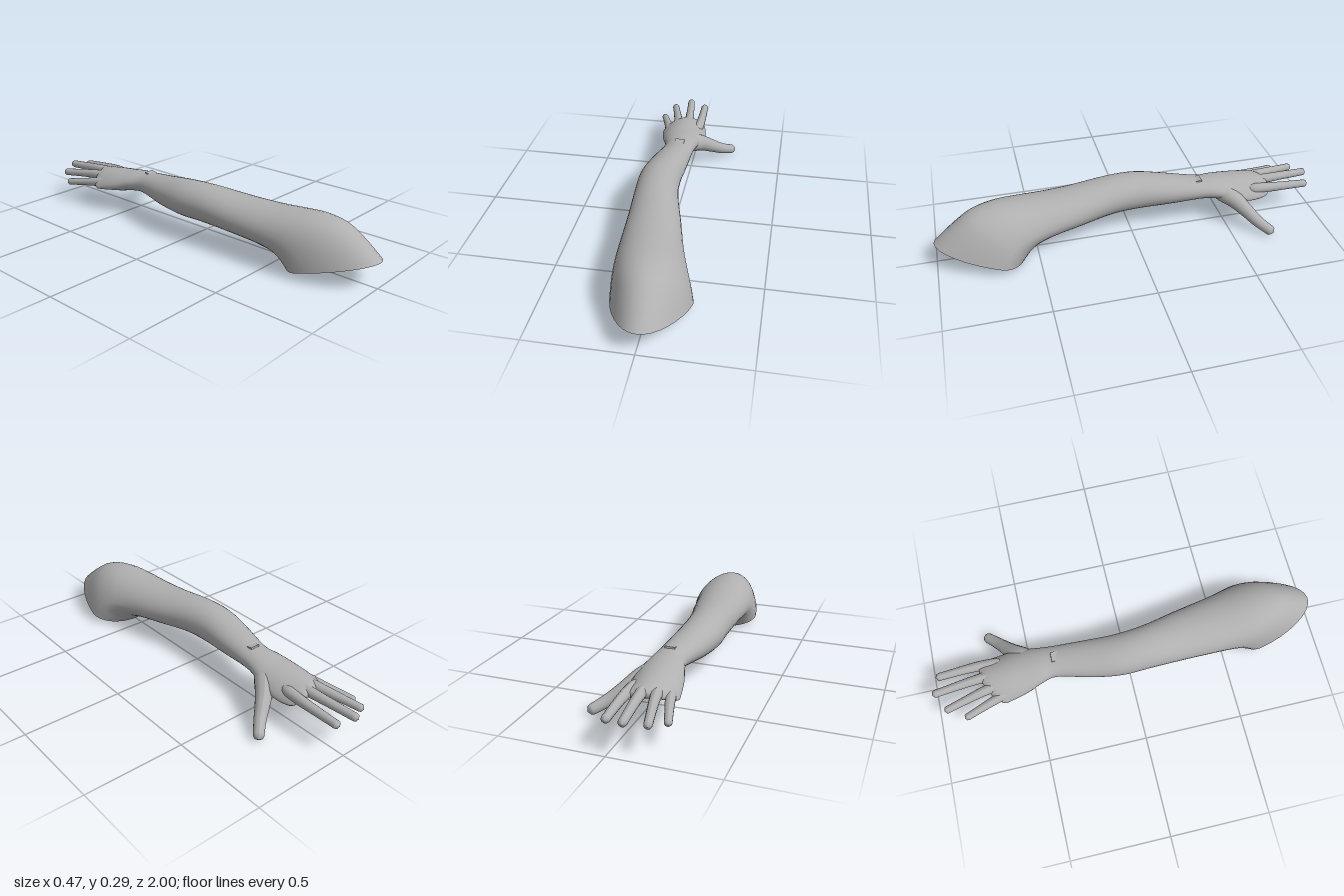
import * as THREE from 'three';

const skin = new THREE.MeshStandardMaterial({ color: 0xb0b0b0, side: THREE.DoubleSide });
skin.name = 'plain grey';

const SIDES = 32;
const { lerp, smoothstep } = THREE.MathUtils;

// Cross-sections from shoulder rim to knuckles: [z of top, min x, max x, top y, bottom y]
const SECTIONS = [
  [1.00, -0.180, 0.198, 0.125, 0.006],
  [0.90, -0.181, 0.186, 0.205, 0.020],
  [0.81, -0.181, 0.170, 0.260, 0.038],
  [0.70, -0.181, 0.148, 0.281, 0.058],
  [0.58, -0.182, 0.124, 0.278, 0.071],
  [0.46, -0.184, 0.102, 0.272, 0.080],
  [0.30, -0.187, 0.072, 0.275, 0.088],
  [0.10, -0.195, 0.027, 0.290, 0.100],
  [-0.05, -0.199, 0.013, 0.287, 0.102],
  [-0.20, -0.175, 0.020, 0.265, 0.112],
  [-0.37, -0.132, 0.029, 0.241, 0.131],
  [-0.45, -0.145, 0.040, 0.234, 0.128],
  [-0.52, -0.168, 0.056, 0.226, 0.118],
  [-0.60, -0.185, 0.062, 0.219, 0.124],
  [-0.68, -0.192, 0.056, 0.209, 0.136],
  [-0.725, -0.178, 0.047, 0.200, 0.146],
  [-0.748, -0.130, 0.020, 0.185, 0.162],
  [-0.75, -0.060, -0.058, 0.174, 0.172],
];

// Smoothly blend neighbouring sections
function sectionAt(t) {
  const last = SECTIONS.length - 1;
  const i = Math.min(Math.floor(t), last - 1), f = t - i;
  const at = (k) => SECTIONS[Math.max(0, Math.min(last, k))];
  return at(i).map((p1, k) => {
    const p0 = at(i - 1)[k], p2 = at(i + 1)[k], p3 = at(i + 2)[k];
    return p1 + 0.5 * f * (p2 - p0 + f * (2 * p0 - 5 * p1 + 4 * p2 - p3 + f * (3 * (p1 - p2) + p3 - p0)));
  });
}

// One closed ring; rings lean forward and get lower-bellied toward the shoulder
function ring([tz, x0, x1, ty, by], scale = 1, lift = 0) {
  const cx = (x0 + x1) / 2, w = (x1 - x0) / 2;
  const lean = Math.max(0, tz) ** 2;
  const bz = tz - 0.44 * lean, belly = 0.5 - 0.2 * lean;
  const my = lerp(by, ty, belly), mz = lerp(bz, tz, belly);
  // The palm arches across, and its edge slants back to the little finger
  const arch = 0.04 * smoothstep(-tz, 0.4, 0.68) * (w / 0.12) ** 2;
  const slant = 0.4 * smoothstep(-tz, 0.6, 0.74);
  const points = [];
  for (let j = 0; j < SIDES; j++) {
    const a = (j / SIDES) * Math.PI * 2, c = Math.cos(a), s = Math.sin(a);
    const ey = s > 0 ? ty - my : my - by, ez = s > 0 ? tz - mz : mz - bz;
    const x = cx + scale * w * c * (1 - 0.2 * lean * Math.max(0, s));
    points.push(x, my + lift + scale * ey * s - arch * c * c, mz + scale * ez * s + slant * Math.max(0, -0.06 - x));
  }
  return points;
}

// Skin over a list of rings
function loft(rings) {
  const index = [];
  for (let i = 0; i < rings.length - 1; i++) {
    for (let j = 0; j < SIDES; j++) {
      const p = i * SIDES + j, q = i * SIDES + (j + 1) % SIDES;
      index.push(p, p + SIDES, q, q, p + SIDES, q + SIDES);
    }
  }
  const g = new THREE.BufferGeometry();
  g.setAttribute('position', new THREE.Float32BufferAttribute(rings.flat(), 3));
  g.setIndex(index);
  g.computeVertexNormals();
  return g;
}

function armGeometry(steps = 4) {
  const rings = [];
  for (let i = 0; i <= (SECTIONS.length - 1) * steps; i++) rings.push(ring(sectionAt(i / steps)));
  return loft(rings);
}

// Slightly hollow end face, wound to face out of the shoulder
function capGeometry() {
  return loft([0.001, 0.25, 0.5, 0.75, 0.9, 1].map((s) => ring(SECTIONS[0], s, 0.02 * (1 - s ** 4))));
}

// Tapered tube, rounded at both ends so the root sinks into the palm
function fingerGeometry(points, r0, r1) {
  const curve = new THREE.CatmullRomCurve3(points.map((p) => new THREE.Vector3(...p)));
  const rows = 36, sides = 14, len = curve.getLength();
  const g = new THREE.TubeGeometry(curve, rows, 1, sides, false);
  const pos = g.attributes.position, v = new THREE.Vector3();
  const round = (d) => Math.sqrt(Math.max(0, 1 - (1 - Math.min(1, d)) ** 2));
  for (let i = 0; i <= rows; i++) {
    const t = i / rows, centre = curve.getPointAt(t);
    const taper = lerp(r1, r0, Math.pow(1 - t, 1.6));
    const r = taper * round(((1 - t) * len) / r1) * round((t * len) / (2 * r0));
    for (let j = 0; j <= sides; j++) {
      const n = i * (sides + 1) + j;
      v.fromBufferAttribute(pos, n).sub(centre).multiplyScalar(r).add(centre);
      pos.setXYZ(n, v.x, v.y, v.z);
    }
  }
  g.computeVertexNormals();
  return g;
}

export function createModel() {
  const model = new THREE.Group();
  model.name = 'arm';
  const add = (name, geometry) => {
    const mesh = new THREE.Mesh(geometry, skin);
    mesh.name = name;
    model.add(mesh);
    return mesh;
  };

  add('armAndPalm', armGeometry());
  add('shoulderCap', capGeometry());

  // Fingers and thumb: path, base radius, tip radius
  add('littleFinger', fingerGeometry([[-0.142, 0.155, -0.61], [-0.171, 0.142, -0.71], [-0.221, 0.120, -0.865]], 0.028, 0.018));
  add('ringFinger', fingerGeometry([[-0.098, 0.170, -0.63], [-0.117, 0.167, -0.74], [-0.169, 0.146, -0.955]], 0.030, 0.019));
  add('middleFinger', fingerGeometry([[-0.047, 0.173, -0.64], [-0.052, 0.175, -0.76], [-0.077, 0.164, -1.0]], 0.030, 0.020));
  add('indexFinger', fingerGeometry([[0.008, 0.165, -0.62], [0.018, 0.164, -0.75], [0.012, 0.150, -0.972]], 0.031, 0.020));
  add('thumb', fingerGeometry([[-0.03, 0.172, -0.45], [0.035, 0.145, -0.535], [0.1, 0.098, -0.594], [0.155, 0.06, -0.638], [0.226, 0.021, -0.704]], 0.062, 0.026));

  // Small crease on the back of the wrist
  const crease = add('wristCrease', new THREE.BoxGeometry(0.05, 0.009, 0.035));
  crease.position.set(-0.045, 0.239, -0.365);
  crease.rotation.x = 0.2;

  return model;
}
